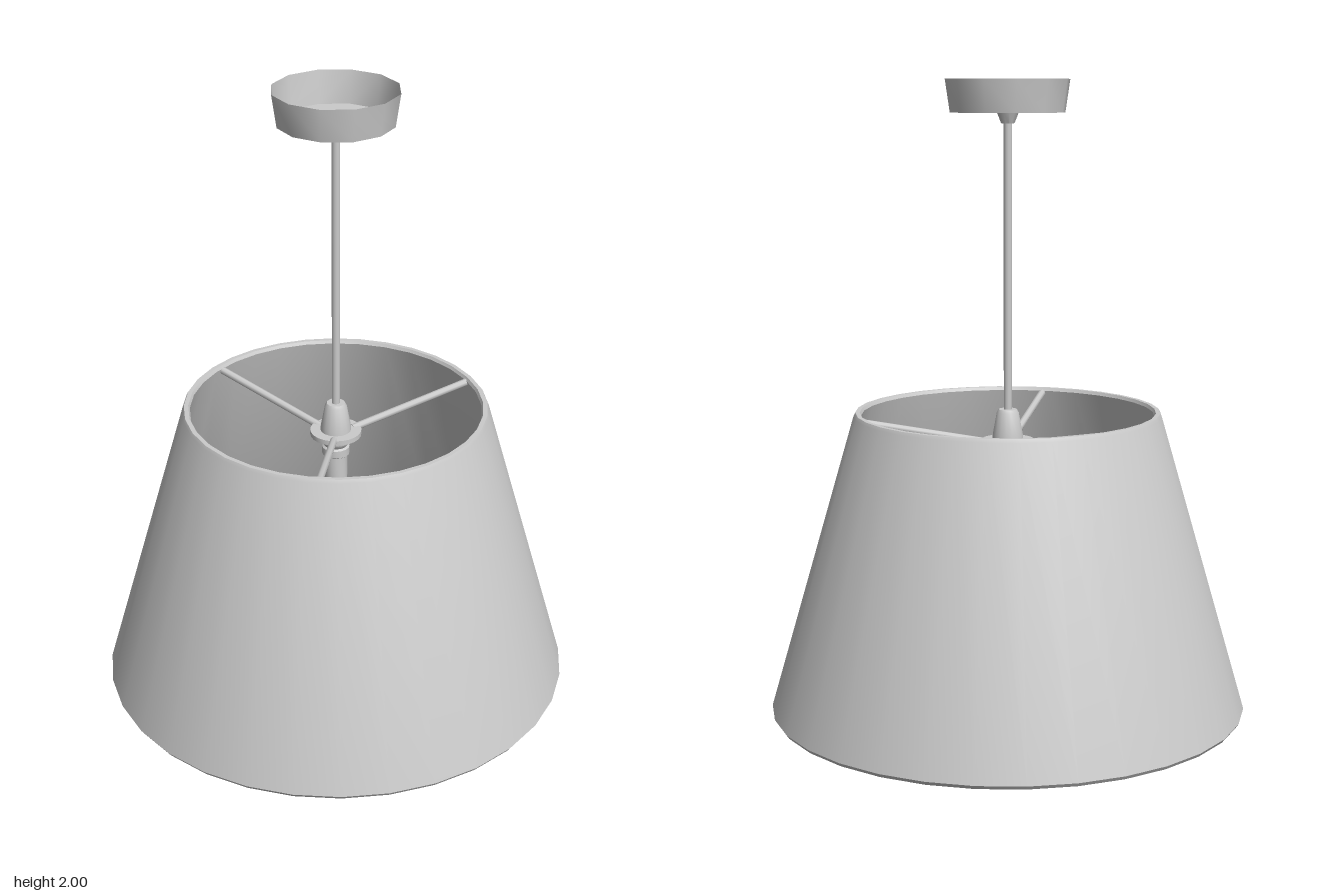
import * as THREE from 'three';
import { toCreasedNormals } from 'three/addons/utils/BufferGeometryUtils.js';

const solid = new THREE.MeshStandardMaterial({ color: 0xcccccc });
const thin = new THREE.MeshStandardMaterial({ color: 0xcccccc, side: THREE.DoubleSide });

// Turned part from [radius, height] pairs, listed bottom to top along the outside
function turned(name, profile, sides, material = solid) {
  const points = profile.map(([r, y]) => new THREE.Vector2(r, y));
  const mesh = new THREE.Mesh(toCreasedNormals(new THREE.LatheGeometry(points, sides), 0.65), material);
  mesh.name = name;
  return mesh;
}

// Round bar between two points
function bar(name, from, to, radius, sides) {
  const mesh = new THREE.Mesh(new THREE.CylinderGeometry(radius, radius, from.distanceTo(to), sides), solid);
  mesh.position.lerpVectors(from, to, 0.5);
  mesh.quaternion.setFromUnitVectors(new THREE.Vector3(0, 1, 0), to.clone().sub(from).normalize());
  mesh.name = name;
  return mesh;
}

export function createModel() {
  const lamp = new THREE.Group();
  lamp.name = 'pendantLamp';

  // Tapered shade with wall thickness and softened rims
  lamp.add(turned('shade', [
    [0.732, 0.008], [0.738, 0], [0.752, 0], [0.76, 0.012],
    [0.487, 0.955], [0.482, 0.965], [0.468, 0.965], [0.463, 0.955], [0.732, 0.008],
  ], 32));

  // Ceiling cup, open at the top
  lamp.add(turned('canopy', [[0.034, 1.898], [0.18, 1.898], [0.195, 2]], 12, thin));

  // Cable grip under the cup
  lamp.add(turned('cableGrip', [[0.012, 1.865], [0.021, 1.865], [0.034, 1.898]], 12, thin));

  // Hanging rod
  lamp.add(bar('rod', new THREE.Vector3(0, 0.95, 0), new THREE.Vector3(0, 1.89, 0), 0.013, 12));

  // Lamp holder: conical cap, then stepped socket open at the bottom
  lamp.add(turned('socketCap', [[0, 0.86], [0.05, 0.86], [0.048, 0.89], [0.035, 0.96], [0.029, 0.97], [0, 0.97]], 16));
  lamp.add(turned('socket', [
    [0, 0.75], [0.03, 0.75], [0.03, 0.69], [0.037, 0.69], [0.037, 0.785],
    [0.044, 0.79], [0.044, 0.815], [0.037, 0.82], [0.048, 0.835], [0.048, 0.86],
  ], 16, thin));

  // Flat ring that carries the spokes
  lamp.add(turned('spokeRing', [[0, 0.858], [0.082, 0.858], [0.082, 0.874], [0, 0.874]], 24));

  // Three spokes rising to the shade's upper rim
  const spokes = new THREE.Group();
  spokes.name = 'spokes';
  for (let i = 0; i < 3; i++) {
    const a = THREE.MathUtils.degToRad(52.5 + i * 120);
    const at = (r, y) => new THREE.Vector3(r * Math.cos(a), y, r * Math.sin(a));
    spokes.add(bar('spoke', at(0.06, 0.866), at(0.466, 0.948), 0.012, 8));
  }
  lamp.add(spokes);

  return lamp;
}
